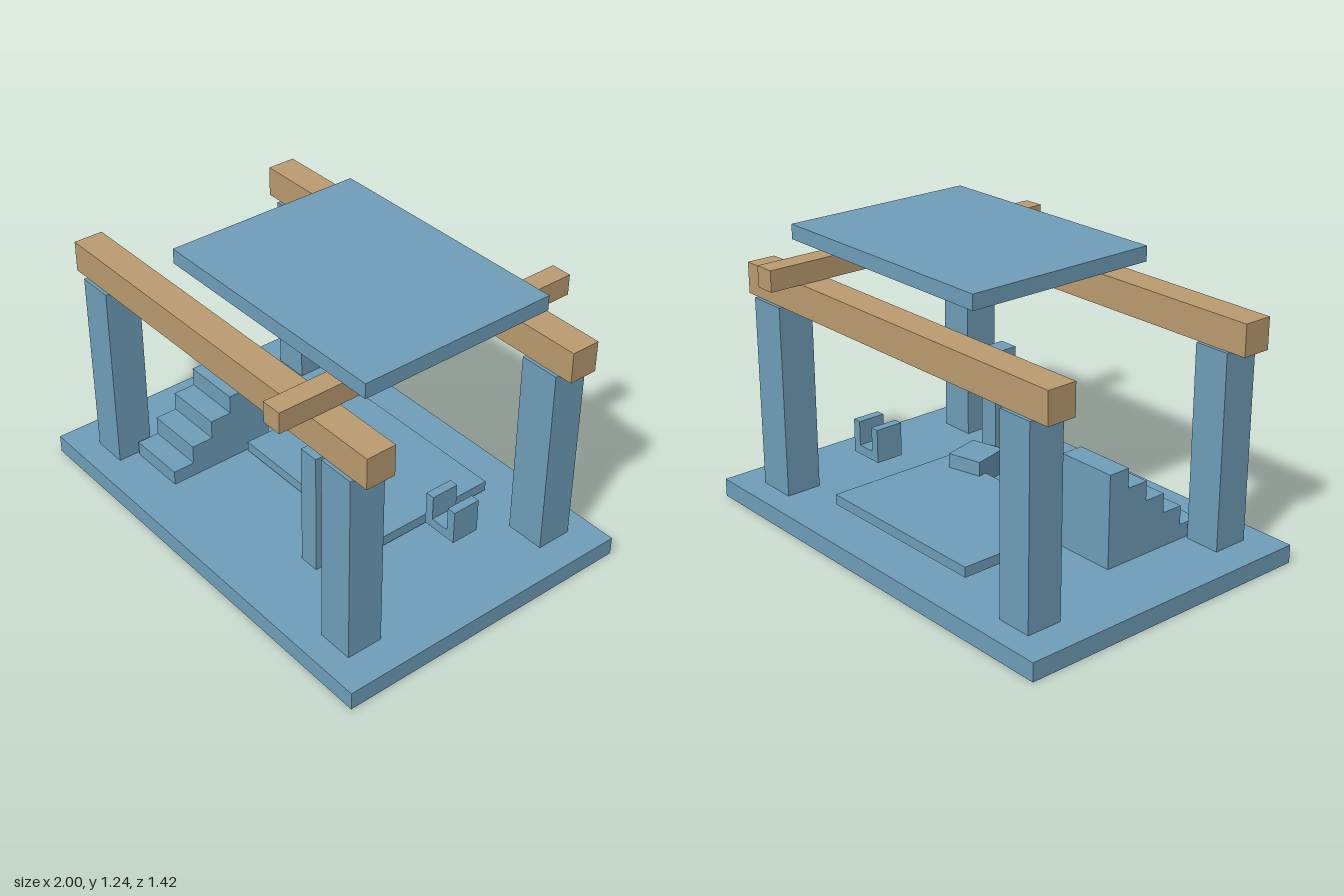
import * as THREE from 'three';

export function createModel() {
  const model = new THREE.Group();
  model.name = 'pavilion';
  const blue = new THREE.MeshStandardMaterial({ color: 0x6f9fba });
  blue.name = 'slate blue';
  const wood = new THREE.MeshStandardMaterial({ color: 0xbc9c70 });
  wood.name = 'tan wood';

  // Box given by its extents along each axis
  function block(name, [x0, x1], [y0, y1], [z0, z1], material = blue, parent = model) {
    const mesh = new THREE.Mesh(new THREE.BoxGeometry(x1 - x0, y1 - y0, z1 - z0), material);
    mesh.position.set((x0 + x1) / 2, (y0 + y1) / 2, (z0 + z1) / 2);
    mesh.name = name;
    parent.add(mesh);
    return mesh;
  }

  block('base', [-1, 1], [0, 0.08], [-0.69, 0.69]);

  // Columns, the back left one slightly wider
  const columnY = [0.08, 0.925];
  block('frontRightColumn', [-0.85, -0.69], columnY, [0.42, 0.58]);
  block('backRightColumn', [-0.85, -0.69], columnY, [-0.58, -0.42]);
  block('frontLeftColumn', [0.69, 0.85], columnY, [0.42, 0.58]);
  block('backLeftColumn', [0.68, 0.857], columnY, [-0.58, -0.42]);

  // Timber beams and roof slab
  block('frontBeam', [-0.925, 0.92], [0.925, 1.06], [0.435, 0.565], wood);
  block('backBeam', [-0.925, 0.92], [0.925, 1.06], [-0.565, -0.435], wood);
  block('crossBeam', [0.53, 0.62], [1.06, 1.15], [-0.71, 0.71], wood);
  block('roofSlab', [-0.385, 0.765], [1.17, 1.235], [-0.445, 0.445]);

  // Stairs extruded from a stepped side profile
  const steps = 5, rise = 0.085, run = 0.1, front = 0.49;
  const profile = new THREE.Shape();
  profile.moveTo(-front, 0.08);
  for (let i = 0; i < steps; i++) {
    const top = 0.145 + i * rise;
    profile.lineTo(-front + i * run, top);
    profile.lineTo(-front + (i + 1) * run, top);
  }
  profile.lineTo(-front + steps * run, 0.08);
  const stairs = new THREE.Mesh(
    new THREE.ExtrudeGeometry(profile, { depth: 0.268, bevelEnabled: false }), blue);
  stairs.rotation.y = Math.PI / 2;
  stairs.position.x = -0.675;
  stairs.name = 'stairs';
  model.add(stairs);

  // Floor furnishings
  block('platform', [-0.385, 0.46], [0.095, 0.14], [-0.49, 0.12]);
  block('pillar', [0.3, 0.39], [0.08, 0.635], [0.25, 0.365]);
  block('smallPost', [-0.485, -0.45], [0.08, 0.29], [-0.21, -0.177]);
  const crate = block('crate', [0.224, 0.386], [0.093, 0.205], [0.057, 0.233]);
  crate.rotation.y = 0.25;

  // U-shaped seat
  const seat = new THREE.Shape();
  [[0.53, 0.178], [0.695, 0.178], [0.695, 0.33], [0.655, 0.33],
    [0.655, 0.22], [0.57, 0.22], [0.57, 0.33], [0.53, 0.33]]
    .forEach(([x, y], i) => (i ? seat.lineTo(x, y) : seat.moveTo(x, y)));
  const seatMesh = new THREE.Mesh(
    new THREE.ExtrudeGeometry(seat, { depth: 0.128, bevelEnabled: false }), blue);
  seatMesh.position.z = -0.216;
  seatMesh.name = 'seat';
  model.add(seatMesh);

  return model;
}
